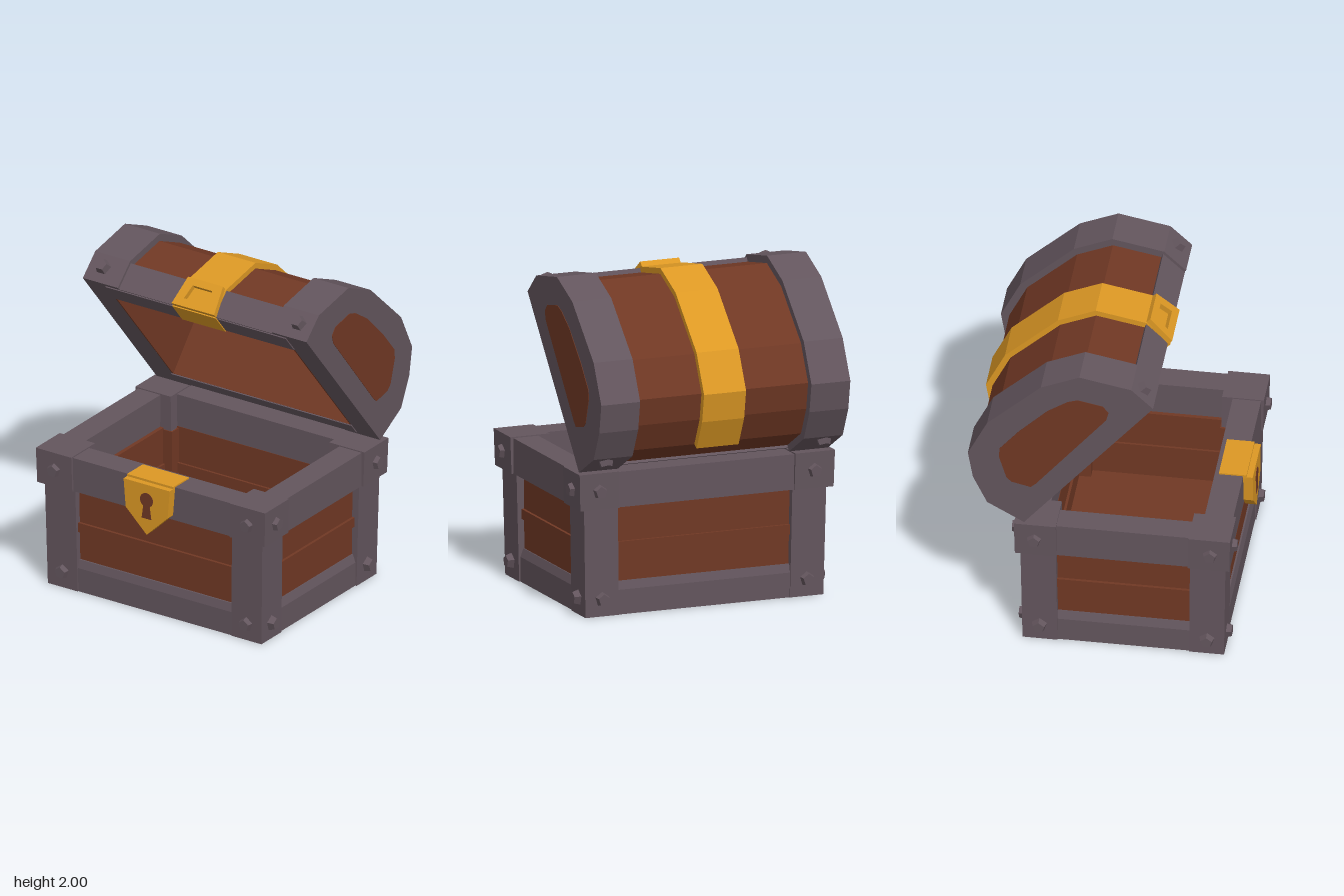
import * as THREE from 'three';

const mat = (name, color) => Object.assign(new THREE.MeshStandardMaterial({ color }), { name });

export function createModel() {
  const iron = mat('grey iron', 0x63555d);
  const wood = mat('brown wood', 0x703824);
  const gold = mat('gold', 0xdc9824);

  const chest = new THREE.Group();
  chest.name = 'chest';
  const body = new THREE.Group();
  body.name = 'body';
  body.position.z = 0.117;
  const lid = new THREE.Group();
  lid.name = 'lid';
  chest.add(body, lid);

  const add = (parent, name, geo, material) => {
    const mesh = new THREE.Mesh(geo, material);
    mesh.name = name;
    parent.add(mesh);
    return mesh;
  };
  // Box given by its lower and upper corners; bottom scales the lower face inward
  const box = (parent, name, a, b, material) => add(parent, name,
    new THREE.BoxGeometry(...a.map((v, i) => Math.abs(b[i] - v)))
      .translate(...a.map((v, i) => (v + b[i]) / 2)), material);
  // Scale the vertices on one side of a height, for tapered blocks
  const taper = (mesh, test, k) => {
    const p = mesh.geometry.attributes.position;
    for (let i = 0; i < p.count; i++) {
      if (test(p.getY(i))) p.setXYZ(i, p.getX(i) * k, p.getY(i), p.getZ(i) * k);
    }
    mesh.geometry = mesh.geometry.toNonIndexed();
    mesh.geometry.computeVertexNormals();
  };
  const shapeOf = pts => new THREE.Shape(pts.map(p => new THREE.Vector2(...p)));
  const extrude = (shape, depth) =>
    new THREE.ExtrudeGeometry(shape, { depth, bevelEnabled: false, curveSegments: 8 });
  // Side profile given as [z, y] points, swept from x0 to x1
  const slab = (parent, name, pts, x0, x1, material) => add(parent, name,
    extrude(shapeOf(pts), x1 - x0).rotateY(-Math.PI / 2).translate(x1, 0, 0), material);
  const boltGeo = new THREE.CylinderGeometry(0.036, 0.054, 0.06, 5, 1, false, Math.PI)
    .rotateX(Math.PI / 2).toNonIndexed();
  boltGeo.computeVertexNormals();
  const face = (mesh, pos, normal) => {
    mesh.position.set(...pos);
    mesh.lookAt(pos[0] + normal[0], pos[1] + normal[1], pos[2] + normal[2]);
  };
  const bolt = (parent, pos, normal) => {
    const b = new THREE.Mesh(boltGeo, iron);
    b.name = 'bolt';
    face(b, pos, normal);
    parent.add(b);
  };

  // Base plinth with a sloped upper edge, and the inner floor
  box(body, 'basePlinth', [-0.755, 0, -0.595], [0.755, 0.15, 0.595], iron);
  const slope = box(body, 'baseSlope', [-0.755, 0.15, -0.595], [0.755, 0.2, 0.595], iron);
  taper(slope, y => y > 0.18, 0.975);
  box(body, 'floor', [-0.7, 0.2, -0.54], [0.7, 0.21, 0.54], wood);

  // Walls, battens and top rails, mirrored front/back and left/right
  for (const s of [-1, 1]) {
    box(body, 'longWall', [-0.7, 0.2, s * 0.455], [0.7, 0.67, s * 0.57], wood);
    box(body, 'endWall', [s * 0.615, 0.2, -0.5], [s * 0.73, 0.67, 0.5], wood);
    box(body, 'longBatten', [-0.69, 0.38, s * 0.44], [0.69, 0.44, s * 0.588], wood);
    box(body, 'endBatten', [s * 0.6, 0.38, -0.49], [s * 0.748, 0.44, 0.49], wood);
    box(body, 'longRail', [-0.6, 0.66, s * 0.458], [0.6, 0.875, s * 0.628], iron);
    box(body, 'endRail', [s * 0.64, 0.66, -0.5], [s * 0.8, 0.875, 0.5], iron);
    // Corner posts, corner blocks and their bolts
    for (const t of [-1, 1]) {
      const post = box(body, 'cornerPost', [s * 0.56, 0, t * 0.4], [s * 0.778, 0.66, t * 0.612], iron);
      taper(post, y => y < 0.01, 0.982);
      const block = box(body, 'cornerBlock', [s * 0.567, 0.66, t * 0.395], [s * 0.82, 0.882, t * 0.645], iron);
      taper(block, y => y < 0.7, 0.992);
      box(body, 'innerCornerPost', [s * 0.55, 0.2, t * 0.385], [s * 0.64, 0.66, t * 0.46], wood);
      bolt(body, [s * 0.69, 0.77, t * 0.641], [0, 0, t]);
      bolt(body, [s * 0.815, 0.77, t * 0.525], [s, 0, 0]);
      bolt(body, [s * 0.657, 0.105, t * 0.605], [0, 0, t]);
      bolt(body, [s * 0.775, 0.105, t * 0.5], [s, 0, 0]);
    }
  }

  // Lock plate wrapping over the front rail
  const lock = new THREE.Group();
  lock.name = 'lock';
  chest.add(lock);
  add(lock, 'lockPlate', extrude(shapeOf([[-0.165, 0.87], [-0.15, 0.69], [0, 0.545],
    [0.15, 0.69], [0.165, 0.87]]), 0.065).translate(0, 0, 0.737), gold);
  box(lock, 'lockTop', [-0.165, 0.86, 0.6], [0.165, 0.884, 0.765], gold);
  const hole = new THREE.Shape();
  hole.absarc(0, 0.77, 0.046, -1.05, Math.PI + 1.05, false);
  hole.lineTo(-0.034, 0.65);
  hole.lineTo(0.034, 0.65);
  add(lock, 'keyhole', extrude(hole, 0.003).translate(0, 0, 0.802), wood);

  // Lid side profile from hinge over the top to the front lip, as [z, y]
  const arc = [[-0.47, 0.885], [-0.69, 1.01], [-0.775, 1.19], [-0.805, 1.365], [-0.69, 1.6],
    [-0.37, 1.9], [-0.14, 2], [0.17, 1.94], [0.3, 1.815]];
  const cavity = [[-0.4, 0.97], [-0.64, 1.25], [-0.56, 1.49], [-0.22, 1.81], [0.06, 1.83], [0.197, 1.69]];
  const mid = [-0.085, 1.35];
  const scaled = (pts, k) => pts.map(p => p.map((v, i) => mid[i] + (v - mid[i]) * k));
  const shell = (pts, outer, inner) => [...scaled(pts, outer), ...scaled(pts, inner).reverse()];
  // Point on the lid opening: t along it from the hinge, v outwards
  const rim = (t, v) => [-0.47 + 0.638 * t - 0.77 * v, 0.885 + 0.77 * t + 0.638 * v];
  const rimStrip = (name, t0, t1, v, w, material) =>
    slab(lid, name, [rim(t0, v), rim(t1, v), rim(t1, v - 0.007), rim(t0, v - 0.007)], -w, w, material);

  slab(lid, 'lidShell', [...scaled(arc, 0.93), ...[...cavity].reverse()], -0.645, 0.645, wood);
  slab(lid, 'frontLip', shell(arc.slice(7), 0.972, 0.85), -0.57, 0.57, iron);
  rimStrip('backRim', 0.025, 0.11, 0, 0.645, iron);
  rimStrip('frontRim', 1.045, 1.185, 0, 0.645, iron);

  // End caps with their overlapping bands and wooden insets
  const inset = [[0.035, 1.755], [0, 1.8], [-0.15, 1.83], [-0.21, 1.81], [-0.33, 1.73], [-0.5, 1.56],
    [-0.615, 1.42], [-0.62, 1.36], [-0.575, 1.21], [-0.545, 1.18], [-0.43, 1.153], [-0.4, 1.18], [0.02, 1.7]];
  for (const s of [-1, 1]) {
    const span = (name, pts, a, b, m) =>
      slab(lid, name, pts, Math.min(s * a, s * b), Math.max(s * a, s * b), m);
    span('endCap', arc, 0.64, 0.8, iron);
    span('endBand', shell(arc, 1, 0.9), 0.55, 0.64, iron);
    span('innerEndPanel', cavity, 0.632, 0.641, wood);
    span('endInset', inset, 0.799, 0.803, wood);
    bolt(lid, [s * 0.7, 1.892, 0.237], [0, 0.72, 0.69]);
    bolt(lid, [s * 0.7, 0.975, -0.635], [0, -0.87, -0.49]);
  }

  // Gold strap, the tab folded under the lip, and the framed clasp
  slab(lid, 'strap', shell(arc.slice(1), 0.985, 0.9), -0.135, 0.135, gold);
  rimStrip('claspTab', 1.04, 1.205, -0.006, 0.155, gold);
  const frame = shapeOf([[-0.152, -0.095], [0.152, -0.095], [0.125, 0.09], [-0.125, 0.09]]);
  frame.holes.push(new THREE.Path([[-0.088, -0.045], [-0.07, 0.045], [0.07, 0.045], [0.088, -0.045]]
    .map(p => new THREE.Vector2(...p))));
  const clasp = add(lid, 'claspFrame', extrude(frame, 0.035).translate(0, 0, -0.012), gold);
  face(clasp, [0, 1.878, 0.235], [0, 0.72, 0.69]);

  return chest;
}
